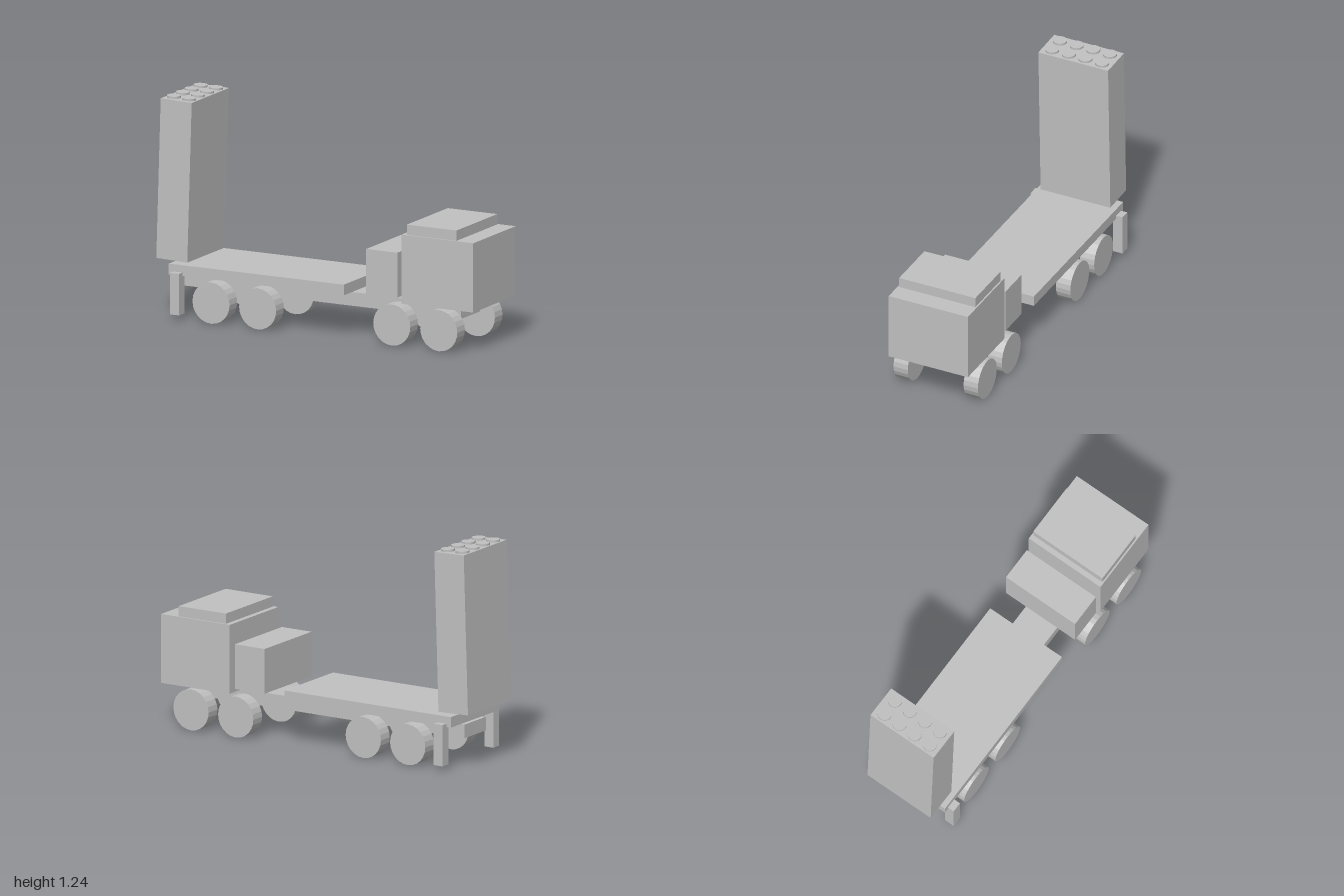
import * as THREE from 'three';

export function createModel() {
  const model = new THREE.Group();
  model.name = 'launcherTruck';

  const grey = new THREE.MeshStandardMaterial({ color: 0xc0c0c0 });
  grey.name = 'plain grey';

  const add = (name, geometry, x, y, z, parent = model) => {
    const mesh = new THREE.Mesh(geometry, grey);
    mesh.name = name;
    mesh.position.set(x, y, z);
    parent.add(mesh);
    return mesh;
  };

  // Box given by its x and y ranges and its width, centred on z
  const slab = (name, x0, x1, y0, y1, width, z = 0) =>
    add(name, new THREE.BoxGeometry(x1 - x0, y1 - y0, width), (x0 + x1) / 2, (y0 + y1) / 2, z);

  // Cylinder with faceted sides
  const faceted = (radius, height, sides) => {
    const geometry = new THREE.CylinderGeometry(radius, radius, height, sides).toNonIndexed();
    geometry.computeVertexNormals();
    return geometry;
  };

  // Chassis, load deck and cab
  slab('chassisRail', -0.905, 0.85, 0.158, 0.235, 0.212);
  slab('deck', -0.905, 0.19, 0.246, 0.306, 0.486);
  slab('equipmentBox', 0.325, 0.52, 0.267, 0.52, 0.468);
  slab('cab', 0.55, 1.0, 0.237, 0.627, 0.486);
  slab('cabRoof', 0.58, 0.89, 0.627, 0.685, 0.468);

  // Wheels and rear support legs, mirrored across z
  const wheel = faceted(0.116, 0.088, 24).rotateX(Math.PI / 2);
  for (const side of [-1, 1]) {
    for (const x of [-0.632, -0.34, 0.499, 0.793]) add('wheel', wheel, x, 0.116, side * 0.215);
    slab('supportLeg', -0.877, -0.818, 0.031, 0.265, 0.058, side * 0.253);
  }

  // Raised launcher block, leaning slightly forward
  const launcher = new THREE.Group();
  launcher.name = 'launcher';
  launcher.position.set(-0.888, 0.77, 0);
  launcher.rotation.z = -0.0305;
  model.add(launcher);
  add('launcherBody', new THREE.BoxGeometry(0.194, 0.902, 0.428), 0, 0, 0, launcher);

  // Two rows of four tube caps
  const cap = faceted(0.0385, 0.024, 20);
  for (const x of [-0.048, 0.048]) {
    for (let i = 0; i < 4; i++) add('tubeCap', cap, x, 0.451, (i - 1.5) * 0.102, launcher);
  }

  return model;
}
